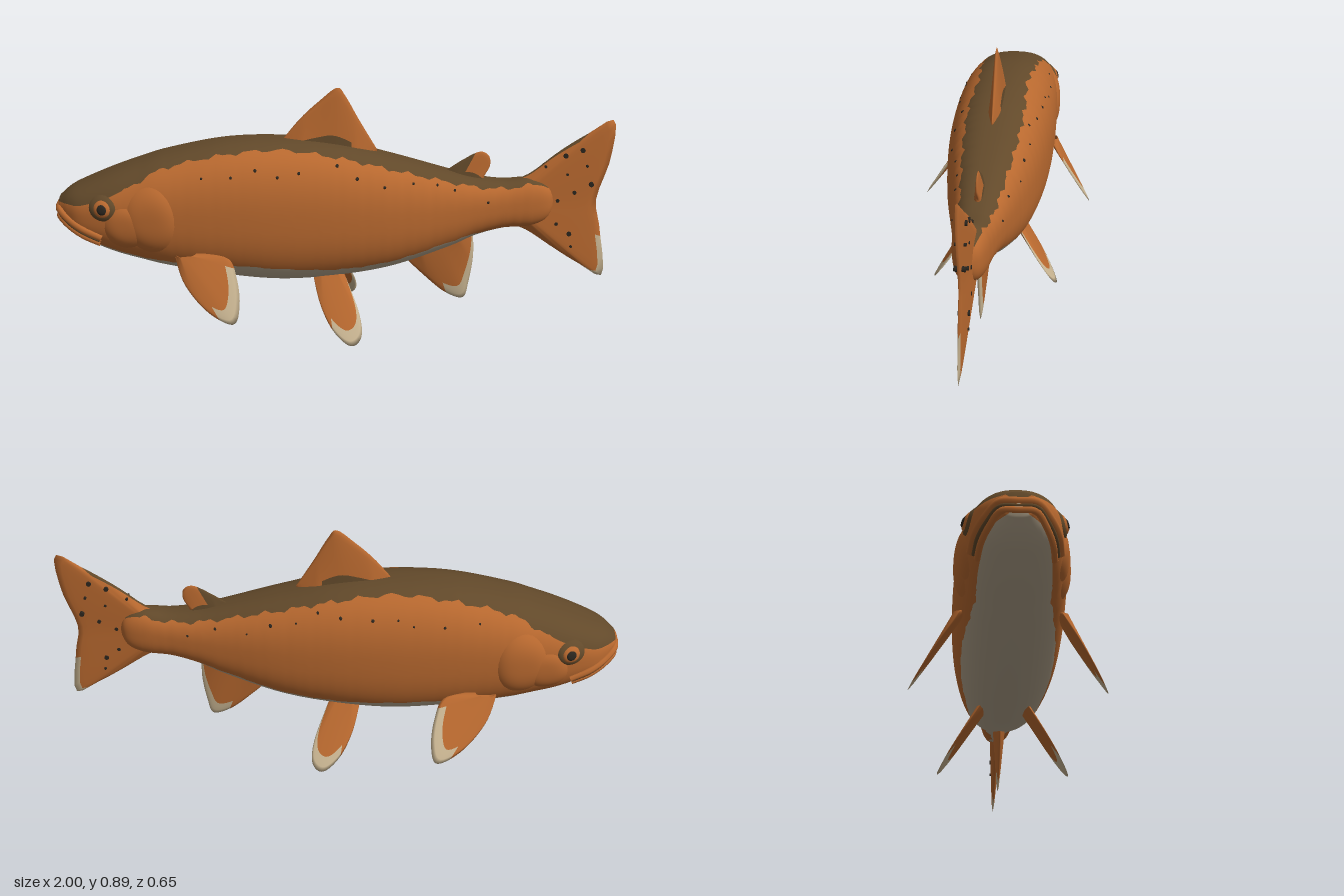
import * as THREE from 'three';
import { mergeVertices } from 'three/addons/utils/BufferGeometryUtils.js';

const mat = (name, color) => new THREE.MeshStandardMaterial({ name, color, side: THREE.DoubleSide });
const ORANGE = 0, OLIVE = 1, BELLY = 2, CREAM = 3, DARK = 4;
const mats = [
  mat('orange flank', 0xb9692f), mat('olive back', 0x62492a), mat('pale belly', 0xb3a48c),
  mat('cream fin tip', 0xc8b491), mat('dark spot', 0x2a251e),
];

// Body stations: x, top, bottom, half width, back colour edge, belly colour edge
const stations = [
  [-0.99, 0.51, 0.43, 0.05, 0.50, 0.435], [-0.95, 0.542, 0.39, 0.093, 0.505, 0.415],
  [-0.9, 0.566, 0.357, 0.125, 0.51, 0.385], [-0.8, 0.607, 0.312, 0.152, 0.545, 0.345],
  [-0.7, 0.642, 0.28, 0.165, 0.595, 0.315], [-0.6, 0.672, 0.253, 0.176, 0.643, 0.3],
  [-0.4, 0.71, 0.215, 0.186, 0.685, 0.293], [-0.2, 0.715, 0.194, 0.187, 0.697, 0.275],
  [0, 0.695, 0.204, 0.176, 0.669, 0.262], [0.2, 0.645, 0.236, 0.15, 0.618, 0.285],
  [0.4, 0.588, 0.302, 0.11, 0.565, 0.343], [0.5, 0.562, 0.345, 0.09, 0.542, 0.367],
  [0.6, 0.55, 0.37, 0.072, 0.532, 0.375], [0.7, 0.555, 0.375, 0.058, 0.54, 0.377],
  [0.76, 0.53, 0.4, 0.04, 0.523, 0.401], [0.79, 0.48, 0.45, 0.008, 0.478, 0.451],
];
const spline = (a, b) => new THREE.CatmullRomCurve3(
  stations.map((s) => new THREE.Vector3(s[0], s[a], s[b])), false, 'catmullrom', 0.5);
const heights = spline(1, 2), widths = spline(3, 4), bellies = spline(3, 5);
const POWER = 2.5;

function section(t) {
  const h = heights.getPoint(t), w = widths.getPoint(t);
  return { x: h.x, cy: (h.y + h.z) / 2, h: (h.y - h.z) / 2, w: w.y, olive: w.z, belly: bellies.getPoint(t).z };
}

// Half width of the body at a given x and y
function bodyZ(x, y) {
  let lo = 0, hi = 1;
  for (let k = 0; k < 24; k++) {
    const m = (lo + hi) / 2;
    if (heights.getPoint(m).x < x) lo = m; else hi = m;
  }
  const s = section(lo), q = Math.min(1, Math.abs((y - s.cy) / s.h));
  return s.w * Math.pow(1 - Math.pow(q, POWER), 1 / POWER);
}

// Smooth surface from a point rule, with one colour per cell
function surface(name, ni, nj, point, colour) {
  const pos = [], lists = mats.map(() => []);
  for (let i = 0; i <= ni; i++) for (let j = 0; j <= nj; j++) pos.push(...point(i, j));
  for (let i = 0; i < ni; i++) for (let j = 0; j < nj; j++) {
    const a = i * (nj + 1) + j, d = a + nj + 1;
    lists[colour(i, j)].push(a, a + 1, d + 1, a, d + 1, d);
  }
  let g = new THREE.BufferGeometry();
  g.setAttribute('position', new THREE.Float32BufferAttribute(pos, 3));
  g.setIndex(lists.flat());
  g = mergeVertices(g, 1e-5);
  g.clearGroups();
  let start = 0;
  lists.forEach((l, m) => {
    if (l.length) g.addGroup(start, l.length, m);
    start += l.length;
  });
  g.computeVertexNormals();
  const mesh = new THREE.Mesh(g, mats);
  mesh.name = name;
  return mesh;
}

// Body: ring rows follow the edges between back, flank and belly
function makeBody() {
  const A = 8, B = 26, N = 34, L = 130;
  const angle = (s, y) => {
    const q = THREE.MathUtils.clamp((y - s.cy) / s.h, -0.995, 0.995);
    return Math.asin(Math.sign(q) * Math.pow(Math.abs(q), POWER / 2));
  };
  const pw = (v) => Math.sign(v) * Math.pow(Math.abs(v), 2 / POWER);
  return surface('body', L + 1, 2 * N, (i, j) => {
    if (i === 0) return [-1, 0.47, 0];
    const s = section((i - 1) / L), k = j <= N ? j : 2 * N - j;
    const wob = s.x > -0.75 && s.x < 0.7 ? 0.004 * Math.sin(s.x * 57) + 0.003 * Math.sin(s.x * 131) : 0;
    const a1 = angle(s, s.olive + wob), a2 = angle(s, s.belly + wob / 2), H = Math.PI / 2;
    const a = k <= A ? H + (a1 - H) * k / A
      : k <= B ? a1 + (a2 - a1) * (k - A) / (B - A)
        : a2 + (-H - a2) * (k - B) / (N - B);
    const z = k === 0 || k === N ? 0 : s.w * pw(Math.cos(a)) * (j <= N ? 1 : -1);
    return [s.x, s.cy + s.h * pw(Math.sin(a)), z];
  }, (i, j) => {
    const k = j < N ? j : 2 * N - 1 - j;
    if (k < A) return i > 122 ? ORANGE : OLIVE;
    return k < B || i > 112 ? ORANGE : BELLY;
  });
}

// Fin: spans from a root line to a curved outer edge, thinning outward
function makeFin(name, root, edge, thick, dir, colour, plane = () => 0) {
  const U = 40, V = 14;
  const outer = new THREE.SplineCurve(edge.map((p) => new THREE.Vector2(...p)));
  return surface(name, U, 2 * V, (i, j) => {
    const u = i / U, v = 1 - Math.abs(j / V - 1), side = (j < V ? 1 : -1) * dir;
    const e = outer.getPoint(u);
    const x = THREE.MathUtils.lerp(root[0][0] + (root[1][0] - root[0][0]) * u, e.x, v);
    const y = THREE.MathUtils.lerp(root[0][1] + (root[1][1] - root[0][1]) * u, e.y, v);
    const t = thick * Math.sqrt(Math.min(1, 5 * Math.min(u, 1 - u))) * Math.sqrt(1 - v) * (1 - 0.4 * v);
    return [x, y, plane(x, y) + side * t];
  }, (i, j) => colour((i + 0.5) / U, 1 - Math.abs((j + 0.5) / V - 1)));
}

// Domed patch lying on the body side
function patch(name, side, cx, cy, rx, ry, lift, colour, n = 24, rings = 8) {
  return surface(name, rings, n, (i, j) => {
    const r = i / rings, a = -side * (j % n) / n * Math.PI * 2;
    const x = cx + r * rx * Math.cos(a), y = cy + r * ry * Math.sin(a);
    return [x, y, side * (bodyZ(x, y) - 0.002 + (lift + 0.002) * (1 - r ** 4))];
  }, () => colour);
}

function makeLip(name, pts, radius, colour) {
  const half = pts.map(([x, y]) => new THREE.Vector3(x, y, bodyZ(x, y)));
  const path = [...half.map((p) => new THREE.Vector3(p.x, p.y, -p.z)).reverse(),
    new THREE.Vector3(-0.992, pts[0][1], 0), ...half];
  const mesh = new THREE.Mesh(new THREE.TubeGeometry(new THREE.CatmullRomCurve3(path), 48, radius, 8), mats[colour]);
  mesh.name = name;
  return mesh;
}

export function createModel() {
  const fish = new THREE.Group();
  fish.name = 'fish';
  fish.add(makeBody());

  // Fins on the middle line
  fish.add(makeFin('dorsalFin', [[-0.19, 0.68], [0.13, 0.64]],
    [[-0.2, 0.7], [-0.13, 0.785], [-0.06, 0.85], [0, 0.895], [0.03, 0.865], [0.08, 0.775], [0.145, 0.665]],
    0.026, -1, (u, v) => (v < 0.28 && u < 0.75 ? OLIVE : ORANGE)));
  fish.add(makeFin('adiposeFin', [[0.4, 0.56], [0.53, 0.545]],
    [[0.39, 0.585], [0.45, 0.625], [0.51, 0.655], [0.545, 0.64], [0.55, 0.6], [0.53, 0.565]],
    0.016, -1, (u, v) => (u < 0.35 || v < 0.3 ? OLIVE : ORANGE)));
  fish.add(makeFin('analFin', [[0.26, 0.28], [0.48, 0.36]],
    [[0.24, 0.26], [0.32, 0.18], [0.4, 0.11], [0.47, 0.085], [0.49, 0.15], [0.503, 0.25], [0.5, 0.335]],
    0.024, 1, (u, v) => (v > 0.78 && u > 0.36 ? CREAM : ORANGE)));
  fish.add(makeFin('tailFin', [[0.66, 0.53], [0.66, 0.4]],
    [[0.64, 0.55], [0.7, 0.575], [0.8, 0.655], [0.9, 0.72], [0.99, 0.766], [0.985, 0.62], [0.945, 0.47],
      [0.965, 0.36], [0.99, 0.172], [0.9, 0.215], [0.8, 0.28], [0.7, 0.35], [0.64, 0.375]],
    0.027, -1, (u, v) => (u < 0.26 && v > 0.85 ? OLIVE : v > 0.9 && u > 0.6 && u < 0.72 ? CREAM : ORANGE)));

  for (const s of [1, -1]) {
    const side = s > 0 ? 'left' : 'right';
    // Paired fins, spreading outward and down
    fish.add(makeFin(side + 'PectoralFin', [[-0.57, 0.335], [-0.5, 0.345]],
      [[-0.575, 0.33], [-0.54, 0.25], [-0.46, 0.175], [-0.37, 0.143], [-0.347, 0.2], [-0.357, 0.28], [-0.39, 0.338], [-0.5, 0.345]],
      0.02, 1, (u, v) => (v > 0.78 && u > 0.36 && u < 0.78 ? CREAM : ORANGE),
      (x, y) => s * (0.165 + 0.214 * (x + 0.56) + 0.645 * (0.33 - y))));
    fish.add(makeFin(side + 'PelvicFin', [[-0.08, 0.23], [0.02, 0.23]],
      [[-0.09, 0.225], [-0.065, 0.13], [-0.02, 0.05], [0.04, 0.005], [0.08, 0.03], [0.075, 0.1], [0.03, 0.21]],
      0.016, 1, (u, v) => (v > 0.75 && u > 0.33 ? CREAM : ORANGE),
      (x, y) => s * (0.083 + 0.7 * (0.215 - y))));

    // Gill cover and cheek
    fish.add(patch(side + 'GillCover', s, -0.655, 0.465, 0.088, 0.125, 0.012, ORANGE, 40, 12));
    fish.add(patch(side + 'Cheek', s, -0.745, 0.435, 0.075, 0.08, 0.01, ORANGE, 32, 10));

    // Eye
    fish.add(patch(side + 'EyeSocket', s, -0.822, 0.507, 0.05, 0.047, 0.01, OLIVE));
    fish.add(patch(side + 'Iris', s, -0.822, 0.507, 0.037, 0.037, 0.016, ORANGE));
    fish.add(patch(side + 'Pupil', s, -0.822, 0.507, 0.025, 0.026, 0.02, DARK));

    // Spots scattered along the upper flank
    let seed = s > 0 ? 7 : 23;
    const rnd = () => (seed = (seed * 16807) % 2147483647) / 2147483647;
    for (let k = 0; k < 5; k++) rnd();
    for (let k = 0; k < 12; k++) {
      const x = -0.5 + k * 0.09 + rnd() * 0.05, r = 0.004 + rnd() * 0.004;
      const y = 0.655 - Math.max(0, x) * 0.24 - rnd() * 0.05;
      fish.add(patch(side + 'FlankSpot', s, x, y, r, r, 0.003, DARK, 8, 2));
    }
  }

  // Mouth
  fish.add(makeLip('upperLip', [[-0.985, 0.477], [-0.95, 0.452], [-0.9, 0.425], [-0.83, 0.395]], 0.013, ORANGE));
  fish.add(makeLip('mouthLine', [[-0.985, 0.462], [-0.95, 0.435], [-0.9, 0.408], [-0.84, 0.382]], 0.007, OLIVE));
  fish.add(makeLip('lowerLip', [[-0.985, 0.447], [-0.95, 0.42], [-0.9, 0.392], [-0.84, 0.367]], 0.011, ORANGE));

  // Tail spots, showing on both faces
  const tailSpots = [[0.75, 0.6], [0.77, 0.54], [0.82, 0.64], [0.83, 0.57], [0.86, 0.5], [0.88, 0.66], [0.9, 0.6],
    [0.8, 0.38], [0.85, 0.34], [0.86, 0.29], [0.8, 0.47], [0.92, 0.53]];
  tailSpots.forEach(([x, y], k) => {
    const spot = new THREE.Mesh(new THREE.CylinderGeometry(0.005 + (k % 3) * 0.002, 0.005 + (k % 3) * 0.002, 0.036, 8), mats[DARK]);
    spot.name = 'tailSpot';
    spot.rotation.x = Math.PI / 2;
    spot.position.set(x, y, 0);
    fish.add(spot);
  });
  return fish;
}
